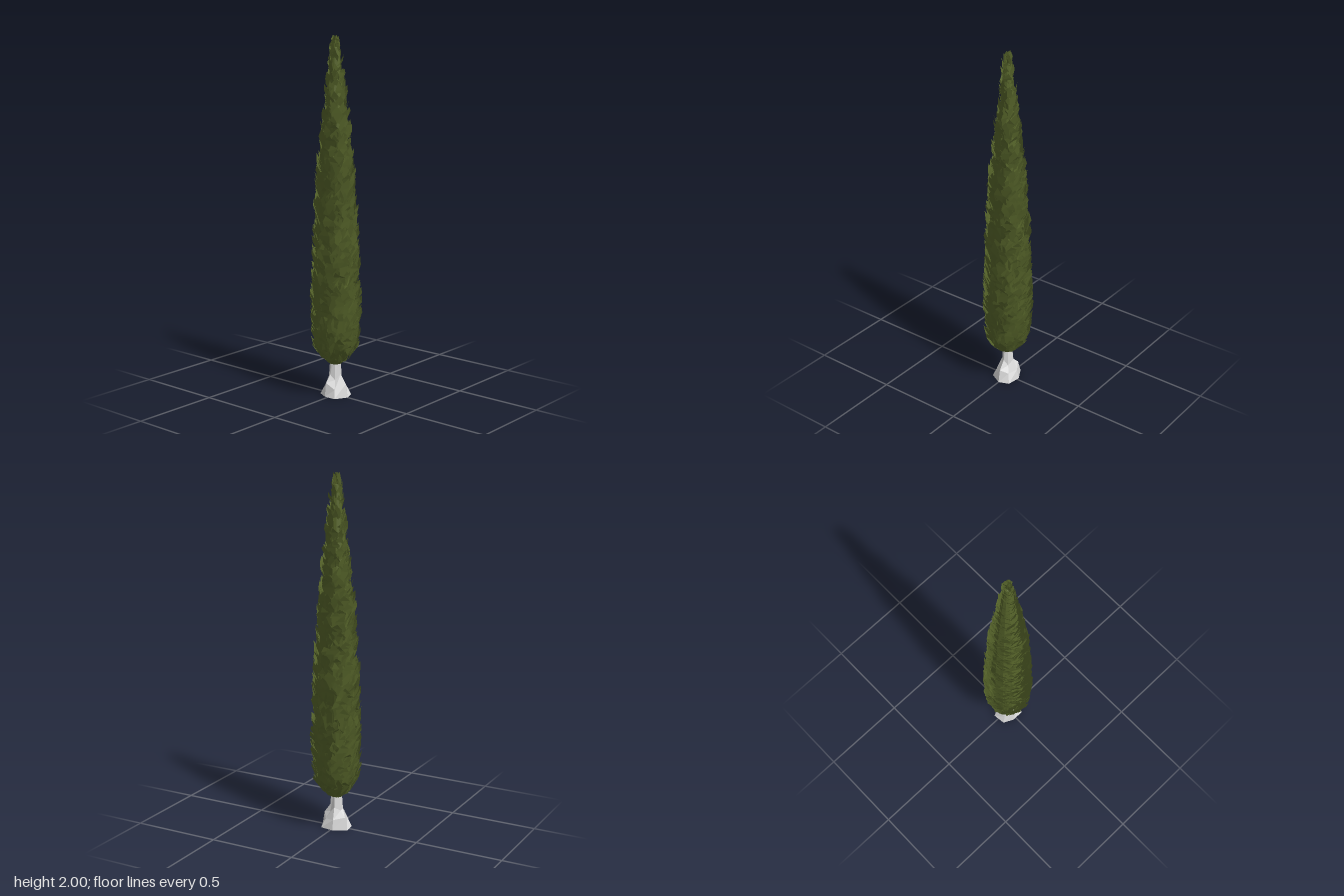
import * as THREE from 'three';

// Seeded random numbers in 0..1
function makeRandom(seed) {
  return () => {
    seed = (seed * 1664525 + 1013904223) >>> 0;
    return seed / 4294967296;
  };
}

// Outer silhouette of the foliage: [height, radius]
const PROFILE = [
  [0.18, 0.03], [0.21, 0.085], [0.27, 0.124], [0.35, 0.135], [0.5, 0.138], [0.65, 0.134], [0.85, 0.129],
  [1.05, 0.116], [1.25, 0.106], [1.4, 0.09], [1.6, 0.068], [1.8, 0.042], [1.93, 0.028], [2.0, 0.004],
];

function radiusAt(y) {
  if (y <= PROFILE[0][0]) return PROFILE[0][1];
  for (let i = 1; i < PROFILE.length; i++) {
    const [y0, r0] = PROFILE[i - 1], [y1, r1] = PROFILE[i];
    if (y <= y1) return r0 + (r1 - r0) * (y - y0) / (y1 - y0);
  }
  return 0.004;
}

// Overlapping pointed leaf plates that lean outwards towards their tips
function leavesGeometry() {
  const rand = makeRandom(11);
  const positions = [];
  const point = (angle, r, side, y) => {
    // side: offset along the tangent
    const c = Math.cos(angle), s = Math.sin(angle);
    return [s * r + c * side, y, c * r - s * side];
  };
  const rows = 50;
  for (let row = 0; row < rows; row++) {
    const rowY = 0.185 + 1.735 * row / (rows - 1);
    const count = Math.max(7, Math.round(2 * Math.PI * radiusAt(rowY + 0.04) / 0.034));
    for (let i = 0; i < count; i++) {
      const angle = (i + (row % 2) / 2 + (rand() - 0.5) * 0.7) / count * Math.PI * 2;
      const y = Math.max(0.185, rowY + (rand() - 0.5) * 0.03);
      const length = Math.min(0.075 + rand() * 0.05, 2.0 - y);
      const half = (0.019 + rand() * 0.012) * (y > 1.6 ? 0.75 : 1);
      const tipR = radiusAt(y + length * 0.8) + (rand() - 0.35) * 0.016;
      const lowR = Math.max(0.004, Math.min(tipR - 0.02 - rand() * 0.02, radiusAt(y) * 0.85));
      const midR = lowR + (tipR - lowR) * 0.65;
      const twist = (rand() - 0.5) * 0.02;
      const skew = (rand() - 0.5) * half;
      const a = point(angle, lowR, -half * 0.6, y);
      const b = point(angle, lowR, half * 0.6, y);
      const c = point(angle, midR + twist, half, y + length * (0.55 + rand() * 0.25));
      const d = point(angle, tipR, skew, y + length);
      const e = point(angle, midR - twist, -half, y + length * (0.55 + rand() * 0.25));
      for (const p of [a, b, c, a, c, e, e, c, d]) positions.push(...p);
    }
  }
  const geometry = new THREE.BufferGeometry();
  geometry.setAttribute('position', new THREE.Float32BufferAttribute(positions, 3));
  geometry.computeVertexNormals();
  return geometry;
}

// Inner body that closes the gaps between the leaves
function coreGeometry() {
  const points = [new THREE.Vector2(0, 0.185)];
  for (const [y, r] of PROFILE.slice(1)) points.push(new THREE.Vector2(r * 0.74, Math.min(y + 0.005, 1.95)));
  points.push(new THREE.Vector2(0, 1.97));
  return new THREE.LatheGeometry(points, 12);
}

// Faceted trunk with an uneven, flared foot
function trunkGeometry() {
  const rings = [[0, 0.084], [0.06, 0.066], [0.11, 0.037], [0.24, 0.026]];
  const sides = 7;
  const positions = [];
  const corner = (ring, i) => {
    const k = i % sides;
    const angle = (k + 0.12 * Math.sin(k * 5)) / sides * Math.PI * 2;
    const wobble = 1 + 0.08 * Math.sin(k * 2.3 + ring * 1.7);
    const [y, r] = rings[ring];
    const lift = ring === 1 || ring === 2 ? 0.018 * Math.sin(k * 2.6 + ring) : 0;
    return [Math.sin(angle) * r * wobble * 0.92, y + lift, Math.cos(angle) * r * wobble * 1.05];
  };
  for (let ring = 0; ring < rings.length - 1; ring++) {
    for (let i = 0; i < sides; i++) {
      const a = corner(ring, i), b = corner(ring, i + 1);
      const c = corner(ring + 1, i + 1), d = corner(ring + 1, i);
      for (const p of [a, b, c, a, c, d]) positions.push(...p);
    }
  }
  // Underside
  for (let i = 0; i < sides; i++) positions.push(0, 0, 0, ...corner(0, i + 1), ...corner(0, i));
  const geometry = new THREE.BufferGeometry();
  geometry.setAttribute('position', new THREE.Float32BufferAttribute(positions, 3));
  geometry.computeVertexNormals();
  return geometry;
}

export function createModel() {
  const foliage = new THREE.MeshStandardMaterial({ color: 0x56642a, side: THREE.DoubleSide, flatShading: true });
  foliage.name = 'foliage green';
  const bark = new THREE.MeshStandardMaterial({ color: 0xdcdcdc, flatShading: true });
  bark.name = 'pale bark';

  const tree = new THREE.Group();
  tree.name = 'columnarTree';
  const add = (name, geometry, material) => {
    const mesh = new THREE.Mesh(geometry, material);
    mesh.name = name;
    tree.add(mesh);
  };
  add('trunk', trunkGeometry(), bark);
  add('foliageCore', coreGeometry(), foliage);
  add('leaves', leavesGeometry(), foliage);
  return tree;
}
